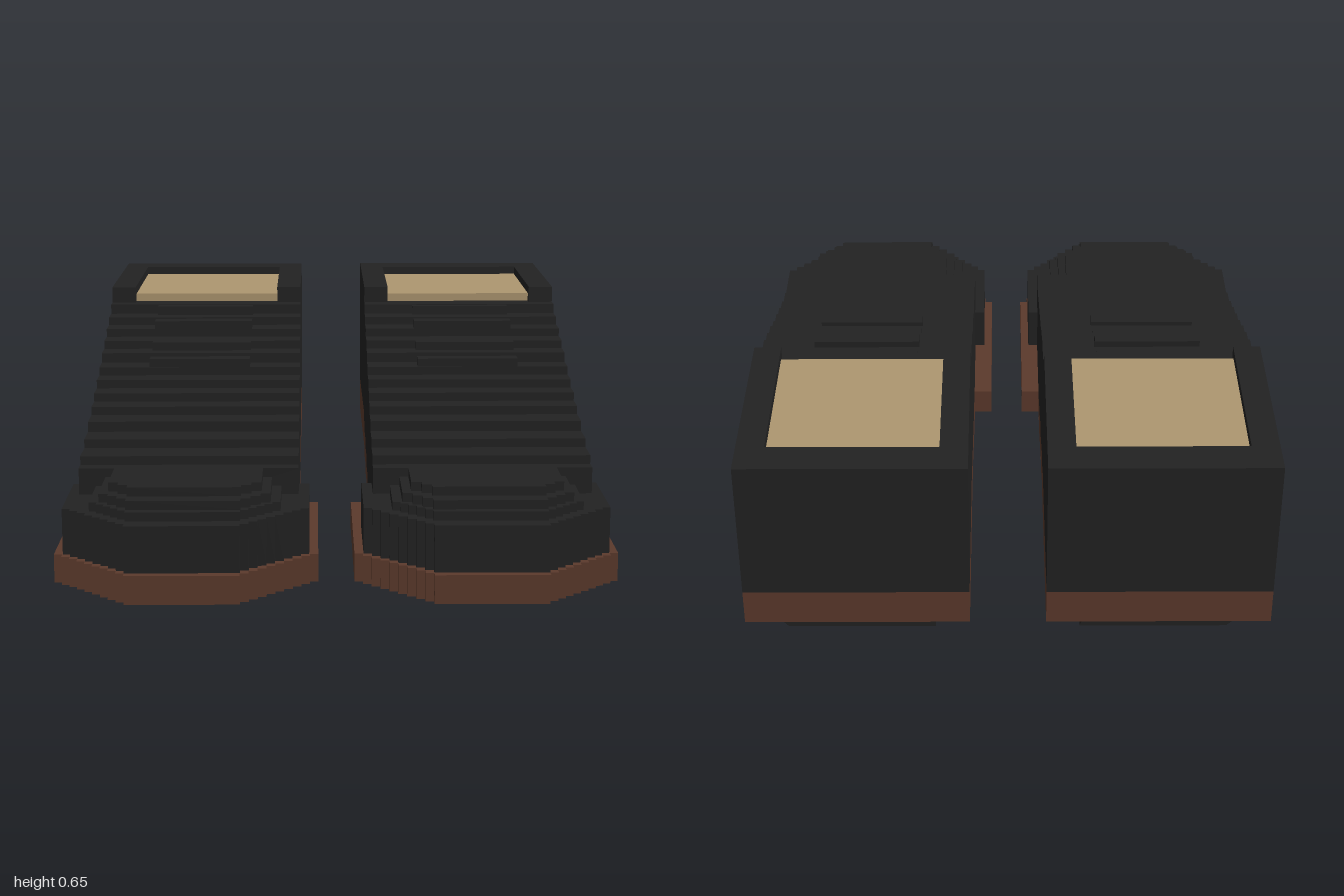
import * as THREE from 'three';

const leather = new THREE.MeshStandardMaterial({ color: 0x222222 });
leather.name = 'black leather';
const soleBrown = new THREE.MeshStandardMaterial({ color: 0x5c3a2c });
soleBrown.name = 'brown sole';
const lining = new THREE.MeshStandardMaterial({ color: 0xae9770 });
lining.name = 'tan lining';

function add(group, name, geometry, material) {
  const mesh = new THREE.Mesh(geometry, material);
  mesh.name = name;
  group.add(mesh);
}

function box(x0, x1, y0, y1, z0, z1) {
  return new THREE.BoxGeometry(x1 - x0, y1 - y0, z1 - z0)
    .translate((x0 + x1) / 2, (y0 + y1) / 2, (z0 + z1) / 2);
}

// Turns [z where the step ends, height] pairs into stair points, front to back
function stairs(zStart, steps) {
  const points = [];
  let z = zStart;
  for (const [zEnd, y] of steps) {
    points.push(new THREE.Vector2(z, y), new THREE.Vector2(zEnd, y));
    z = zEnd;
  }
  return points;
}

// Side profile (z, y) extruded across the shoe
function sideExtrude(points, halfWidth) {
  return new THREE.ExtrudeGeometry(new THREE.Shape(points), { depth: halfWidth * 2, bevelEnabled: false })
    .rotateY(-Math.PI / 2).translate(halfWidth, 0, 0);
}

// Plan outline with stepped diagonal corners at the toe, extruded upward
function toeLayer(halfWidth, zBack, zFront, y0, y1) {
  const tip = 0.155;
  const cut = halfWidth - tip;
  const n = Math.max(2, Math.round(cut / 0.0235));
  const right = [[halfWidth, zBack]];
  for (let i = 0; i < n; i++) {
    const z = zFront - cut + (cut * i) / n;
    right.push([halfWidth - (cut * i) / n, z], [halfWidth - (cut * (i + 1)) / n, z]);
  }
  right.push([tip, zFront]);
  const left = right.map(([x, z]) => [-x, z]).reverse();
  const points = [...right, ...left].map(([x, z]) => new THREE.Vector2(x, -z));
  return new THREE.ExtrudeGeometry(new THREE.Shape(points), { depth: y1 - y0, bevelEnabled: false })
    .rotateX(-Math.PI / 2).translate(0, y0, 0);
}

function createShoe() {
  const shoe = new THREE.Group();
  const w = 0.31;

  // Sole: flat wide forefoot and stepped arch rising to the heel seat
  const archTop = [[0.17, 0.08], [0.04, 0.11], [-0.065, 0.13], [-0.165, 0.16],
    [-0.3, 0.185], [-0.405, 0.21], [-1, 0.235]];
  const archBottom = [[0.17, 0], [0.04, 0.03], [-0.065, 0.055], [-0.165, 0.08],
    [-0.3, 0.105], [-1, 0.13]];
  add(shoe, 'foreSole', toeLayer(0.365, 0.22, 1, 0, 0.08), soleBrown);
  add(shoe, 'archSole', sideExtrude(
    [...stairs(0.22, archTop), ...stairs(0.22, archBottom).reverse()], w), soleBrown);

  // Upper: stepped instep resting on the sole
  const instep = [[0.585, 0.285], [0.48, 0.31], [0.375, 0.335], [0.28, 0.365], [0.2, 0.39],
    [0.12, 0.415], [0.04, 0.44], [-0.04, 0.465], [-0.12, 0.495], [-0.2, 0.52],
    [-0.28, 0.545], [-0.355, 0.57], [-1, 0.6]];
  add(shoe, 'upper', sideExtrude(
    [...stairs(0.63, instep), ...stairs(0.63, archTop).reverse()], w), leather);

  // Raised lace bands across the instep
  for (const [z, top] of [[0.038, 0.49], [-0.09, 0.52], [-0.2, 0.57], [-0.328, 0.598]]) {
    add(shoe, 'laceBand', box(-0.155, 0.155, top - 0.06, top, z - 0.05, z), leather);
  }

  // Toe cap with smaller layers stacked above it
  add(shoe, 'toeCap', toeLayer(0.34, 0.505, 0.975, 0.08, 0.21), leather);
  const layers = [[0.262, 0.925], [0.235, 0.9], [0.21, 0.85]];
  layers.forEach(([half, front], i) => {
    const y = 0.21 + i * 0.025;
    add(shoe, 'toeLayer', toeLayer(half, 0.63, front, y, y + 0.025), leather);
  });

  // Collar rim and lining, open at the front
  const inner = 0.233;
  for (const s of [-1, 1]) {
    add(shoe, 'collarSide', box(Math.min(s * inner, s * w), Math.max(s * inner, s * w),
      0.6, 0.65, -1, -0.405), leather);
  }
  add(shoe, 'collarBack', box(-inner, inner, 0.6, 0.65, -1, -0.9), leather);
  add(shoe, 'insole', box(-inner, inner, 0.6, 0.625, -0.9, -0.43), lining);

  // Heel block with a stepped back
  for (let i = 0; i < 5; i++) {
    const front = i === 4 ? -0.56 : -0.585;
    add(shoe, 'heelLayer', box(-0.21, 0.21, i * 0.026, (i + 1) * 0.026,
      -0.865 - i * 0.026, front), leather);
  }
  return shoe;
}

export function createModel() {
  const model = new THREE.Group();
  model.name = 'pairOfShoes';
  for (const [name, x] of [['leftShoe', 0.415], ['rightShoe', -0.415]]) {
    const shoe = createShoe();
    shoe.name = name;
    shoe.position.x = x;
    model.add(shoe);
  }
  return model;
}
